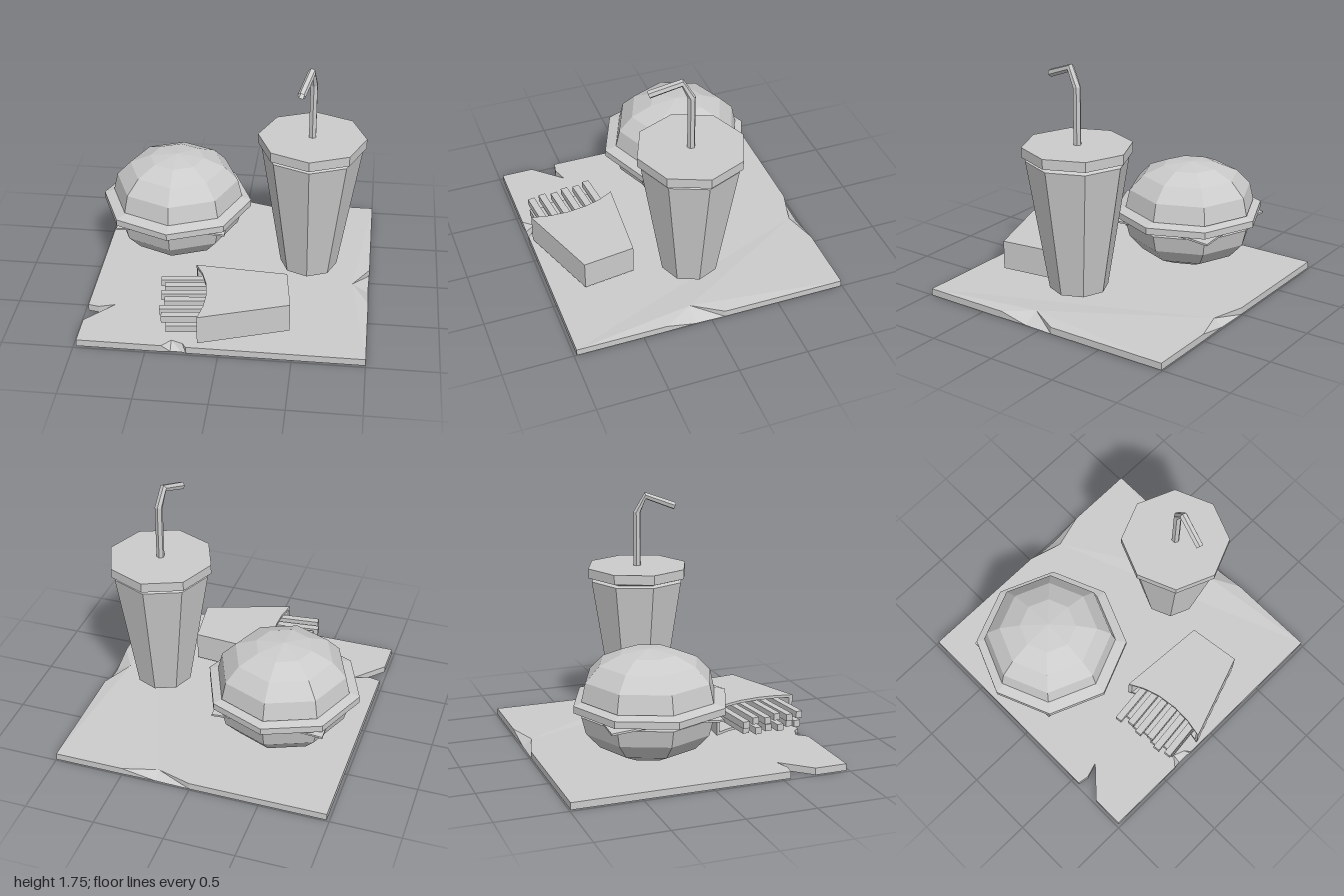
import * as THREE from 'three';

const mat = new THREE.MeshStandardMaterial({ color: 0xcccccc, flatShading: true });
const matDouble = new THREE.MeshStandardMaterial({ color: 0xcccccc, flatShading: true, side: THREE.DoubleSide });

function add(parent, name, geometry, material = mat) {
  const mesh = new THREE.Mesh(geometry, material);
  mesh.name = name;
  parent.add(mesh);
  return mesh;
}

// Horizontal slab from [x, z] outline points
function slab(points, y0, y1) {
  const shape = new THREE.Shape(points.map(([x, z]) => new THREE.Vector2(x, -z)));
  const geo = new THREE.ExtrudeGeometry(shape, { depth: y1 - y0, bevelEnabled: false });
  return geo.rotateX(-Math.PI / 2).translate(0, y0, 0);
}

// Eight-sided turned solid, [radius, y] from bottom to top
const turned = (profile) =>
  new THREE.LatheGeometry(profile.map(([r, y]) => new THREE.Vector2(r, y)), 8);

// Polyline path with one tube ring at each point
class Polyline extends THREE.Curve {
  constructor(points) { super(); this.points = points; }
  getPoint(t, target = new THREE.Vector3()) {
    const n = this.points.length - 1;
    const i = Math.min(Math.floor(t * n), n - 1);
    return target.lerpVectors(this.points[i], this.points[i + 1], t * n - i);
  }
  getUtoTmapping(u) { return u; }
}

// Sheet with a torn left edge and chipped front, right and back edges
function makeSheet() {
  const geo = slab([
    [-0.98, -0.99], [0, -0.99], [0.25, -0.92], [0.5, -0.99], [1, -0.99],
    [1, -0.1], [0.88, 0.12], [1, 0.33], [1, 0.98],
    [-0.22, 0.98], [-0.25, 0.94], [-0.33, 0.91], [-0.39, 0.98], [-0.98, 0.98],
    [-0.98, 0.745], [-0.79, 0.54], [-0.9, 0.575], [-0.98, 0.56],
  ], 0, 0.05);
  const p = geo.attributes.position;
  for (let i = 0; i < p.count; i++) {
    const x = p.getX(i), z = p.getZ(i), top = p.getY(i) > 0.01;
    const rightChip = Math.abs(x - 0.88) < 0.01 && Math.abs(z - 0.12) < 0.01;
    if (rightChip && top) p.setY(i, 0.068);
    if (rightChip && !top) p.setX(i, 0.995);
    if (!top && z > 0.9 && z < 0.97) p.setZ(i, 0.97);
    if (!top && z < -0.9 && z > -0.98) p.setZ(i, -0.985);
  }
  geo.computeVertexNormals();
  return geo;
}

function makeBurger() {
  const burger = new THREE.Group();
  burger.name = 'burger';
  burger.position.set(-0.45, 0, -0.27);
  add(burger, 'bottomBun', turned([[0, 0.1], [0.2, 0.12], [0.35, 0.19], [0.45, 0.3], [0.48, 0.42], [0, 0.42]]));
  add(burger, 'topBun', turned([[0, 0.53], [0.48, 0.53], [0.45, 0.66], [0.35, 0.765], [0.2, 0.83], [0, 0.855]]));
  add(burger, 'patty', turned([[0, 0.44], [0.44, 0.44], [0.55, 0.457], [0.55, 0.506], [0.46, 0.53], [0, 0.53]]))
    .position.z = 0.015;
  // Cheese slice with drooping corners
  const cheese = new THREE.BoxGeometry(0.79, 0.014, 0.79, 4, 1, 4).translate(0, 0.434, 0);
  const p = cheese.attributes.position;
  for (let i = 0; i < p.count; i++) {
    if (Math.abs(p.getX(i)) > 0.3 && Math.abs(p.getZ(i)) > 0.3) p.setY(i, p.getY(i) - 0.015);
  }
  add(burger, 'cheese', cheese);
  return burger;
}

function makeDrink() {
  const drink = new THREE.Group();
  drink.name = 'drink';
  drink.position.x = 0.55;
  add(drink, 'cup', turned([[0, 0.167], [0.205, 0.167], [0.355, 1.1], [0.32, 1.112], [0, 1.112]]));
  add(drink, 'lid', turned([[0, 1.108], [0.31, 1.108], [0.38, 1.13], [0.38, 1.2], [0, 1.2]]));
  const path = new Polyline([[0, 1.15, 0], [0, 1.6, 0], [-0.015, 1.72, 0.06], [-0.07, 1.64, 0.27]]
    .map((a) => new THREE.Vector3(...a)));
  add(drink, 'straw', new THREE.TubeGeometry(path, 3, 0.028, 6), matDouble);
  return drink;
}

function makeFries() {
  const fries = new THREE.Group();
  fries.name = 'friesBox';
  // Carton: two panels with a scooped mouth, joined by a wall on three sides
  const corners = [[-0.23, 0.33], [0.42, 0.375], [0.47, 0.75], [-0.145, 0.965]];
  const mouth = [[-0.12, 0.83], [-0.115, 0.7], [-0.135, 0.55], [-0.175, 0.43]];
  const inner = [[-0.14, 0.94], [0.45, 0.735], [0.4, 0.395], [-0.22, 0.353]];
  add(fries, 'topPanel', slab([...corners, ...mouth], 0.272, 0.292));
  add(fries, 'bottomPanel', slab([...corners, ...mouth], 0.08, 0.1));
  add(fries, 'sideWall', slab([...corners, ...inner], 0.1, 0.272));
  // Two staggered layers of fries
  const jitter = [0, 0.03, 0.01, 0.035, 0.005, 0.02];
  for (let row = 0; row < 2; row++) {
    for (let i = 0; i < 6; i++) {
      const fry = add(fries, 'fry', new THREE.BoxGeometry(0.48, 0.05, 0.05));
      const j = jitter[(i + row * 3) % 6];
      fry.position.set(-0.225 + i * 0.009 + row * 0.04 + j, 0.222 - row * 0.075 + j * 0.3, 0.432 + i * 0.088 + row * 0.03);
      if (row && i === 5) fry.position.z -= 0.03;
      fry.rotation.y = 0.11;
    }
  }
  return fries;
}

export function createModel() {
  const model = new THREE.Group();
  model.name = 'fastFoodMeal';
  add(model, 'paperSheet', makeSheet());
  model.add(makeBurger(), makeDrink(), makeFries());
  return model;
}
